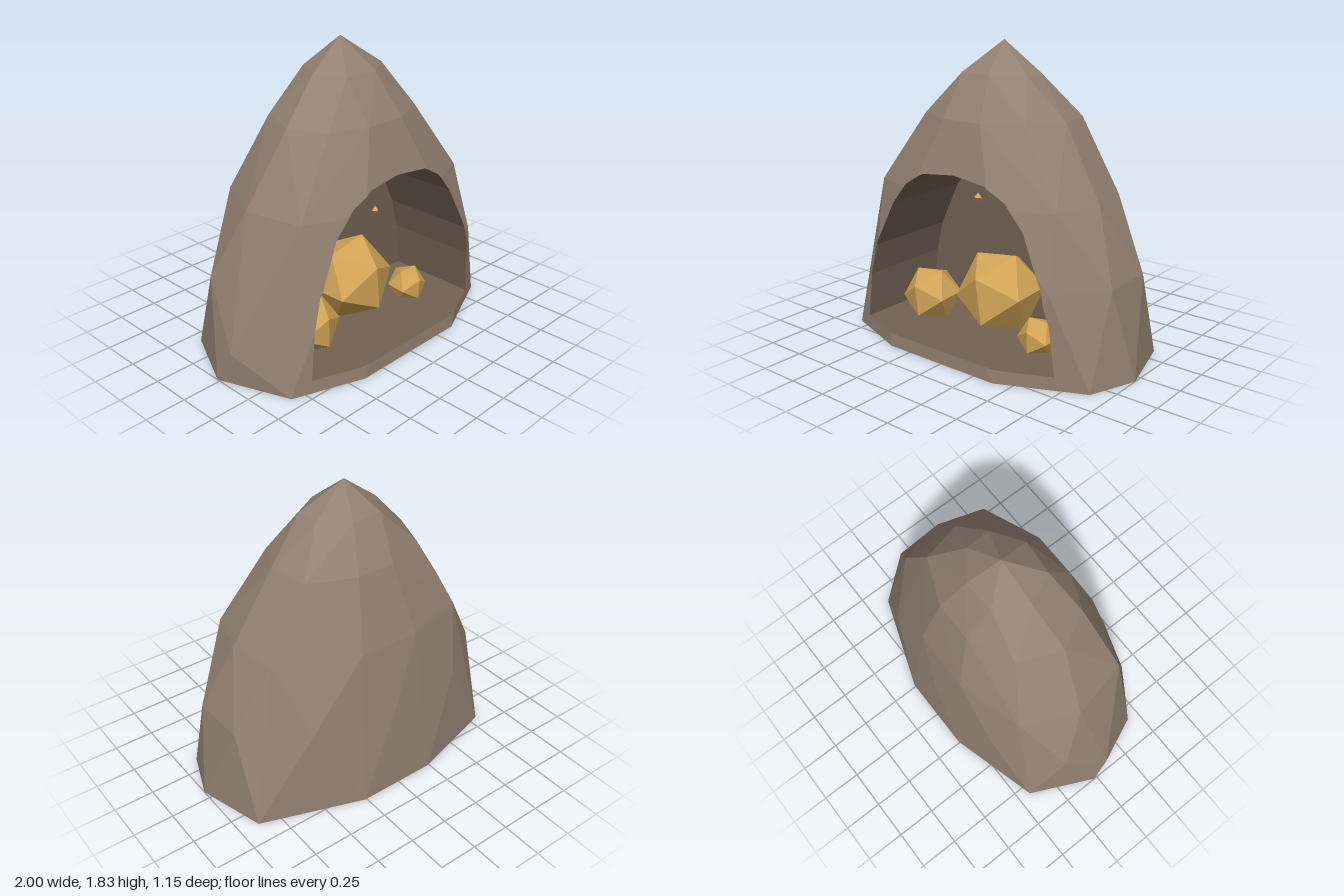
import * as THREE from 'three';
import { ConvexGeometry } from 'three/addons/geometries/ConvexGeometry.js';

const rock = new THREE.MeshStandardMaterial({ color: 0x938172 });
rock.name = 'rock';
const caveWall = new THREE.MeshStandardMaterial({ color: 0x726253 });
caveWall.name = 'cave wall';
const gold = new THREE.MeshStandardMaterial({ color: 0xd2a556 });
gold.name = 'gold';

const CAVE_BACK = -0.15;

// Right half of the cave mouth, mirrored into a counter-clockwise convex arch
const half = [[0.71, 0.08], [0.68, 0.37], [0.63, 0.57], [0.49, 0.86], [0.37, 1.0], [0.23, 1.08]];
const arch = [...half, [0, 1.105], ...half.map(([x, y]) => [-x, y]).reverse()];

// Corners of the boulder: height, then x and z of each corner around it
const rings = [
  [0, [[1, 0.06], [0.89, 0.35], [0.39, 0.575], [-0.4, 0.575], [-0.83, 0.42],
    [-1, -0.02], [-0.81, -0.42], [-0.24, -0.58], [0.26, -0.58], [0.88, -0.36]]],
  [0.2, [[-0.975, 0.08]]],
  [0.55, [[0.9, 0.17], [0.68, 0.45], [0, 0.55], [-0.61, 0.47],
    [-0.87, -0.2], [-0.5, -0.48], [0.01, -0.54], [0.54, -0.45], [0.89, -0.17]]],
  [0.97, [[0.73, 0.05], [0.64, 0.34], [0.29, 0.48], [-0.3, 0.48], [-0.66, 0.34],
    [-0.74, -0.02], [-0.58, -0.35], [-0.18, -0.47], [0.2, -0.46], [0.67, -0.24]]],
  [1.4, [[0.475, 0.02], [0.36, 0.24], [0.12, 0.35], [-0.15, 0.35], [-0.37, 0.26],
    [-0.48, 0.04], [-0.38, -0.22], [-0.1, -0.34], [0.14, -0.34], [0.42, -0.22]]],
  [1.65, [[0.24, 0.08], [0.06, 0.2], [-0.15, 0.18], [-0.24, 0], [-0.13, -0.19], [0.07, -0.2], [0.23, -0.07]]],
  [1.83, [[0, -0.02]]],
];

function flatMesh(name, triangles, material) {
  const geometry = new THREE.BufferGeometry().setFromPoints(triangles);
  geometry.computeVertexNormals();
  const mesh = new THREE.Mesh(geometry, material);
  mesh.name = name;
  return mesh;
}

// Adds a convex polygon as a triangle fan
function fan(out, poly) {
  for (let i = 1; i < poly.length - 1; i++) out.push(poly[0], poly[i], poly[i + 1]);
}

// Signed distance of a point from arch edge k, positive inside the mouth
function edgeDistance(p, k) {
  const [ax, ay] = arch[k];
  const [bx, by] = arch[(k + 1) % arch.length];
  return ((bx - ax) * (p.y - ay) - (by - ay) * (p.x - ax)) / Math.hypot(bx - ax, by - ay);
}

// Splits a polygon along arch edge k
function split(poly, k) {
  const inside = [], outside = [];
  poly.forEach((p, i) => {
    const q = poly[(i + 1) % poly.length];
    const dp = edgeDistance(p, k), dq = edgeDistance(q, k);
    if (dp >= 0) inside.push(p);
    if (dp <= 0) outside.push(p);
    if (dp * dq < 0) {
      const cut = p.clone().lerp(q, dp / (dp - dq));
      inside.push(cut);
      outside.push(cut);
    }
  });
  return { inside, outside };
}

// Triangles of the solid boulder
function rockTriangles() {
  const corners = rings.flatMap(([y, points]) => points.map(([x, z]) => new THREE.Vector3(x, y, z)));
  const position = new ConvexGeometry(corners).attributes.position;
  const tris = [];
  for (let i = 0; i < position.count; i += 3) {
    tris.push([0, 1, 2].map((j) => new THREE.Vector3().fromBufferAttribute(position, i + j)));
  }
  return tris;
}

function goldNugget(name, x, y, z, radius, rotation) {
  const mesh = new THREE.Mesh(new THREE.IcosahedronGeometry(radius, 0), gold);
  mesh.name = name;
  mesh.position.set(x, y, z);
  mesh.rotation.set(...rotation);
  return mesh;
}

export function createModel() {
  const model = new THREE.Group();
  model.name = 'goldCave';

  // Rock shell with the mouth cut out; each cut edge is drawn back as a tunnel wall
  const shell = [], tunnel = [];
  for (const tri of rockTriangles()) {
    if (tri[0].z + tri[1].z + tri[2].z <= 0) {
      shell.push(...tri);
      continue;
    }
    let rest = tri;
    for (let k = 0; k < arch.length && rest.length > 2; k++) {
      const { inside, outside } = split(rest, k);
      if (outside.length > 2) fan(shell, outside);
      rest = inside;
    }
    if (rest.length < 3) continue;
    rest.forEach((p, i) => {
      const q = rest[(i + 1) % rest.length];
      const onRim = arch.some((_, k) =>
        Math.abs(edgeDistance(p, k)) < 1e-6 && Math.abs(edgeDistance(q, k)) < 1e-6);
      if (!onRim) return;
      const pBack = new THREE.Vector3(p.x, p.y, CAVE_BACK);
      const qBack = new THREE.Vector3(q.x, q.y, CAVE_BACK);
      fan(tunnel, [p, q, qBack, pBack]);
    });
  }
  model.add(flatMesh('rockShell', shell, rock));
  model.add(flatMesh('caveTunnel', tunnel, caveWall));

  // Back wall of the cave
  const backShape = new THREE.Shape(arch.map(([x, y]) => new THREE.Vector2(x, y)));
  const backWall = new THREE.Mesh(new THREE.ShapeGeometry(backShape), caveWall);
  backWall.name = 'caveBackWall';
  backWall.position.z = CAVE_BACK;
  model.add(backWall);

  // Gold lumps half sunk in the floor
  model.add(goldNugget('largeNugget', 0.02, 0.3, 0.04, 0.275, [0.02, 0.06, 0.12]));
  model.add(goldNugget('mediumNugget', -0.44, 0.21, 0.16, 0.185, [0.05, 0.05, 0.08]));
  model.add(goldNugget('smallNugget', 0.415, 0.15, 0.18, 0.125, [0.05, -0.05, 0]));

  // Tiny glints set in the back wall
  for (const [x, y, r] of [[-0.31, 0.8, 0.03], [0.45, 0.56, 0.027]]) {
    const glint = new THREE.Mesh(new THREE.OctahedronGeometry(r), gold);
    glint.name = 'goldGlint';
    glint.position.set(x, y, CAVE_BACK + 0.01);
    model.add(glint);
  }
  return model;
}
